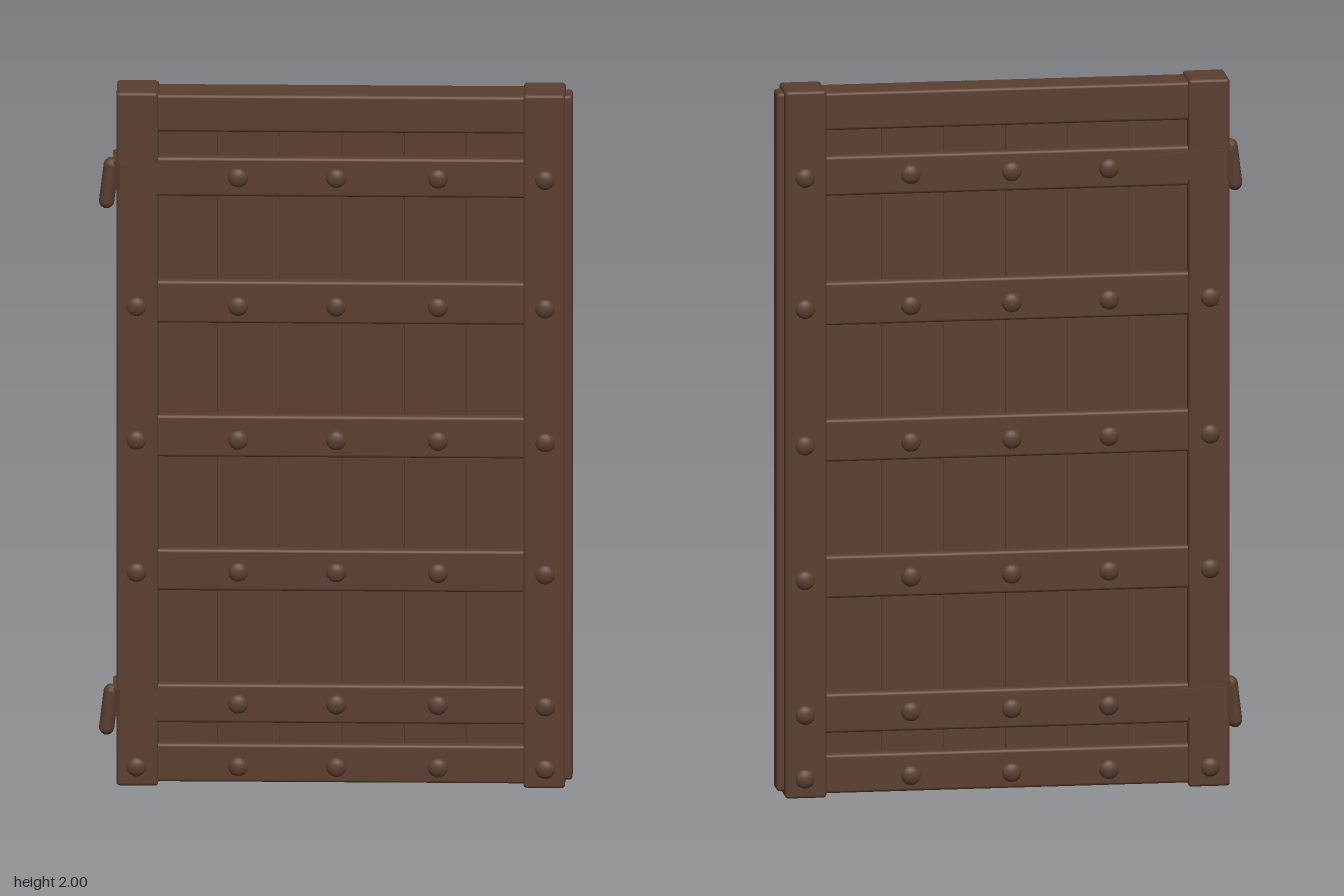
import * as THREE from 'three';
import { RoundedBoxGeometry } from 'three/addons/geometries/RoundedBoxGeometry.js';

export function createModel() {
  const door = new THREE.Group();
  door.name = 'door';
  const brown = new THREE.MeshStandardMaterial({ color: 0x5a3e2f });
  brown.name = 'dark brown wood';

  const add = (name, geometry, x = 0, y = 0, z = 0) => {
    const mesh = new THREE.Mesh(geometry, brown);
    mesh.name = name;
    mesh.position.set(x, y, z);
    door.add(mesh);
    return mesh;
  };
  // Softly bevelled beam given by its edges and its half depth
  const beam = (name, x0, x1, y0, y1, halfZ, radius = 0.009) =>
    add(name, new RoundedBoxGeometry(x1 - x0, y1 - y0, halfZ * 2, 2, radius), (x0 + x1) / 2, (y0 + y1) / 2, 0);

  // Frame posts and the closing tongue on the free edge
  beam('hingePost', -0.605, -0.49, 0.005, 2, 0.065);
  beam('latchPost', 0.515, 0.63, 0.005, 2, 0.065);
  beam('edgeTongue', 0.6, 0.65, 0.02, 1.99, 0.034);

  // Recessed vertical planks
  const planks = 6, left = -0.5, width = 1.03 / planks;
  for (let i = 0; i < planks; i++) {
    beam('plank', left + i * width, left + (i + 1) * width, 0.03, 1.97, 0.034, 0.002);
  }

  // Horizontal rails: bottom and top edge
  const rails = [[0.015, 0.125], [0.185, 0.297], [0.565, 0.685], [0.95, 1.07], [1.335, 1.457], [1.7, 1.812], [1.885, 1.992]];
  for (const [y0, y1] of rails) beam('rail', -0.5, 0.525, y0, y1, 0.056);

  // Domed rivets on both faces
  const dome = new THREE.SphereGeometry(0.028, 14, 6, 0, Math.PI * 2, 0, Math.PI / 2);
  dome.scale(1, 0.6, 1);
  dome.rotateX(Math.PI / 2);
  const rivet = (x, y, surface) => {
    for (const side of [1, -1]) {
      const mesh = add('rivet', dome, x, y, side * surface);
      if (side < 0) mesh.rotation.y = Math.PI;
    }
  };
  for (const y of [0.06, 0.24, 0.62, 1, 1.385, 1.755]) {
    for (const x of [-0.27, 0, 0.28]) rivet(x, y, 0.054);
    rivet(0.575, y, 0.061);
  }
  for (const y of [0.06, 0.62, 1, 1.385]) rivet(-0.55, y, 0.061);

  // Hinge strap wrapped round the post, narrowing towards its ends
  const outline = new THREE.Shape([
    [-0.385, 0.06], [-0.48, 0.073], [-0.595, 0.073], [-0.616, 0.055],
    [-0.616, -0.055], [-0.595, -0.073], [-0.48, -0.073], [-0.385, -0.06],
  ].map(([x, z]) => new THREE.Vector2(x, z)));
  const strap = new THREE.ExtrudeGeometry(outline, { depth: 0.08, bevelEnabled: false });
  strap.rotateX(Math.PI / 2);
  strap.translate(0, 0.04, 0);
  const p = strap.attributes.position;
  for (let i = 0; i < p.count; i++) {
    const t = THREE.MathUtils.clamp((p.getX(i) + 0.48) / 0.095, 0, 1);
    p.setY(i, p.getY(i) * (1 - 0.35 * t));
  }
  strap.computeVertexNormals();

  // Hinges with leaning barrels that hang below the straps
  const barrel = new THREE.CapsuleGeometry(0.021, 0.105, 4, 14);
  for (const y of [0.245, 1.76]) {
    add('hingeStrap', strap, 0, y, 0);
    add('hingeBarrel', barrel, -0.626, y - 0.025, 0.042).rotation.z = -0.12;
  }
  return door;
}
